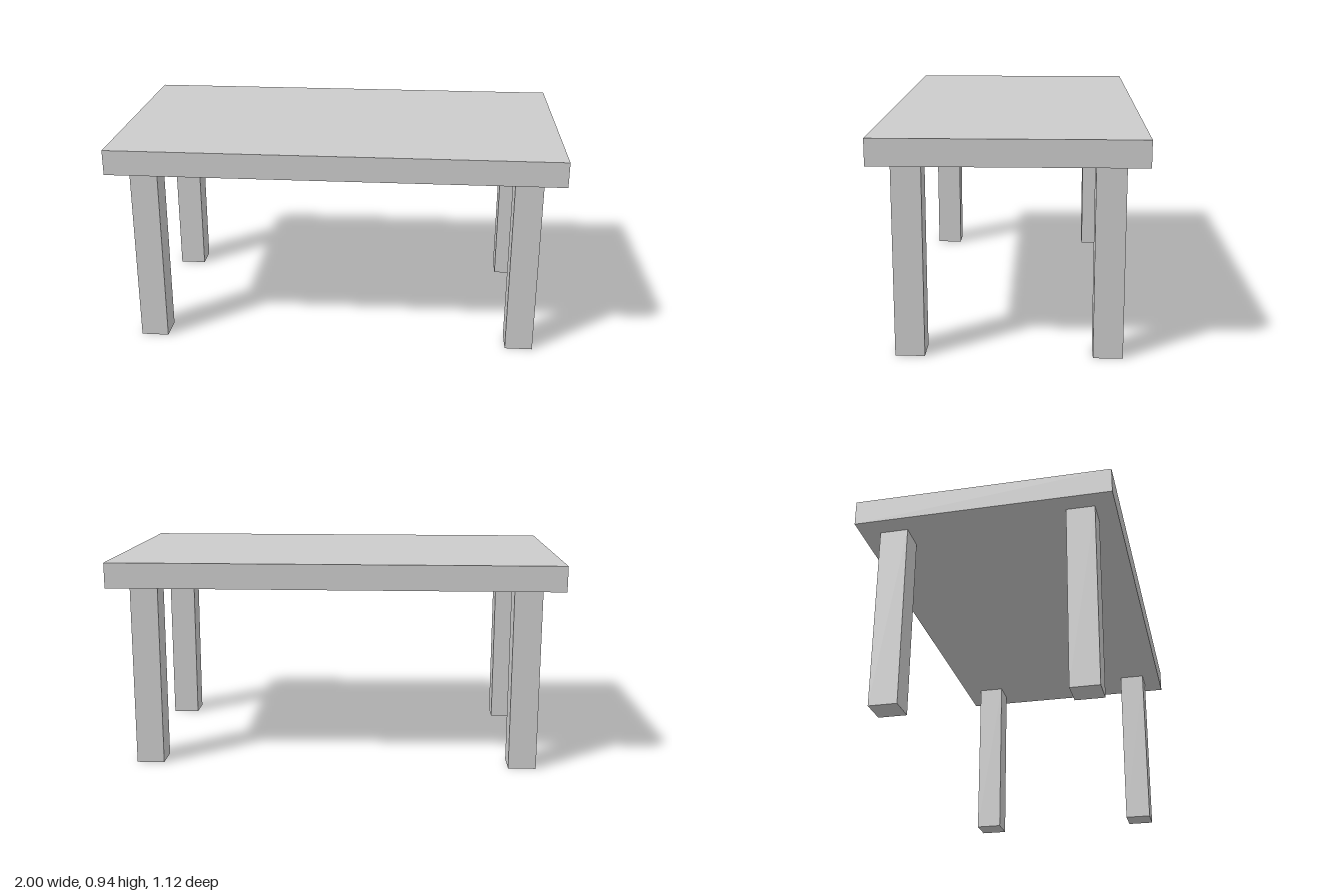
import * as THREE from 'three';

export function createModel() {
  const group = new THREE.Group();
  const material = new THREE.MeshStandardMaterial({ color: 0xcccccc });

  const addBox = (name, [w, h, d], [x, y, z]) => {
    const mesh = new THREE.Mesh(new THREE.BoxGeometry(w, h, d), material);
    mesh.name = name;
    mesh.position.set(x, y, z);
    group.add(mesh);
  };

  const legHeight = 0.826, topThickness = 0.112, legWidth = 0.124;

  // Table top
  addBox('tableTop', [2, topThickness, 1.12], [0, legHeight + topThickness / 2, 0]);

  // Four square legs, inset from the corners
  for (const [side, sx] of [['Left', 1], ['Right', -1]]) {
    for (const [end, sz] of [['front', 1], ['back', -1]]) {
      addBox(`${end}${side}Leg`, [legWidth, legHeight, legWidth],
        [sx * 0.85, legHeight / 2, sz * 0.412]);
    }
  }

  return group;
}
